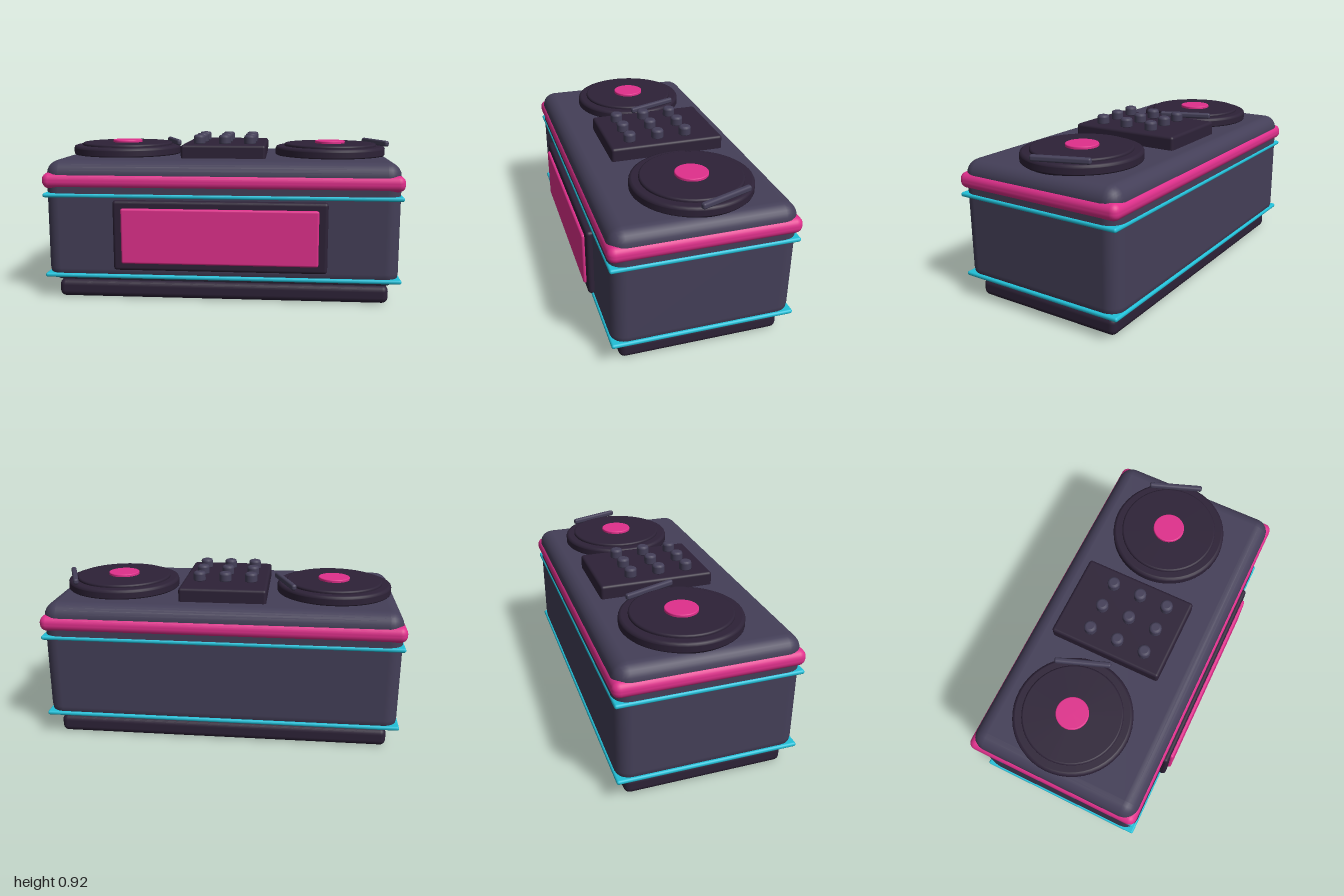
import * as THREE from 'three';
import { RoundedBoxGeometry } from 'three/addons/geometries/RoundedBoxGeometry.js';

function material(name, color) {
  const m = new THREE.MeshStandardMaterial({ color });
  m.name = name;
  return m;
}

export function createModel() {
  const model = new THREE.Group();
  model.name = 'djBooth';

  const slate = material('slate', 0x443f58);
  const dark = material('darkPlum', 0x2d2237);
  const pink = material('hotPink', 0xe0308c);
  const teal = material('teal', 0x22c0d8);

  // Rounded box given by its [min, max] extents
  function box(name, mat, [x0, x1], [y0, y1], [z0, z1], radius, segments = 3) {
    const geo = new RoundedBoxGeometry(x1 - x0, y1 - y0, z1 - z0, segments, radius);
    const mesh = new THREE.Mesh(geo, mat);
    mesh.name = name;
    mesh.position.set((x0 + x1) / 2, (y0 + y1) / 2, (z0 + z1) / 2);
    model.add(mesh);
    return mesh;
  }

  // Upright disc with a softened top rim; extra points keep the flats flat
  function disc(name, mat, x, z, r, y0, y1, bevel, sides = 48) {
    const h = y1 - y0, e = bevel * 0.2;
    const profile = [
      [0, 0], [r - bevel - e, 0], [r - bevel, 0], [r, bevel], [r, bevel + e],
      [r, h - bevel - e], [r, h - bevel], [r - bevel * 0.3, h - bevel * 0.3],
      [r - bevel, h], [r - bevel - e, h], [0, h],
    ].map(([a, b]) => new THREE.Vector2(a, b));
    const mesh = new THREE.Mesh(new THREE.LatheGeometry(profile, sides), mat);
    mesh.name = name;
    mesh.position.set(x, y0, z);
    model.add(mesh);
  }

  // Cabinet and plinth
  box('plinth', dark, [-0.935, 0.935], [0, 0.1], [-0.46, 0.427], 0.033);
  box('cabinet', slate, [-0.985, 0.985], [0.1, 0.79], [-0.51, 0.475], 0.08);

  // Bumper band and light strips
  box('bumperBand', pink, [-1, 1], [0.633, 0.722], [-0.523, 0.487], 0.04);
  for (const y of [0.14, 0.597]) {
    box('lightStrip', teal, [-0.994, 0.994], [y - 0.012, y + 0.012], [-0.516, 0.481], 0.011);
  }

  // Front screen
  box('screenFrame', dark, [-0.593, 0.59], [0.183, 0.577], [0.46, 0.508], 0.018);
  box('screen', pink, [-0.545, 0.54], [0.225, 0.535], [0.485, 0.524], 0.012);

  // Turntables, each with platter, label and tone arm
  for (const x of [-0.622, 0.622]) {
    disc('turntableBase', dark, x, -0.052, 0.327, 0.78, 0.843, 0.014);
    disc('record', dark, x, -0.052, 0.275, 0.83, 0.859, 0.008);
    disc('recordLabel', pink, x, -0.052, 0.09, 0.85, 0.874, 0.004, 32);
    const arm = box('toneArm', slate,
      [x + 0.265, x + 0.295], [0.843, 0.877], [-0.29, 0.025], 0.012);
    arm.rotation.y = 0.35;
  }

  // Mixer with a grid of knobs
  box('mixer', dark, [-0.245, 0.242], [0.77, 0.866], [-0.378, 0.275], 0.016);
  for (const x of [-0.148, 0, 0.148]) {
    for (const z of [-0.181, -0.016, 0.148]) {
      disc('knob', slate, x, z, 0.035, 0.855, 0.917, 0.012, 16);
    }
  }

  return model;
}
